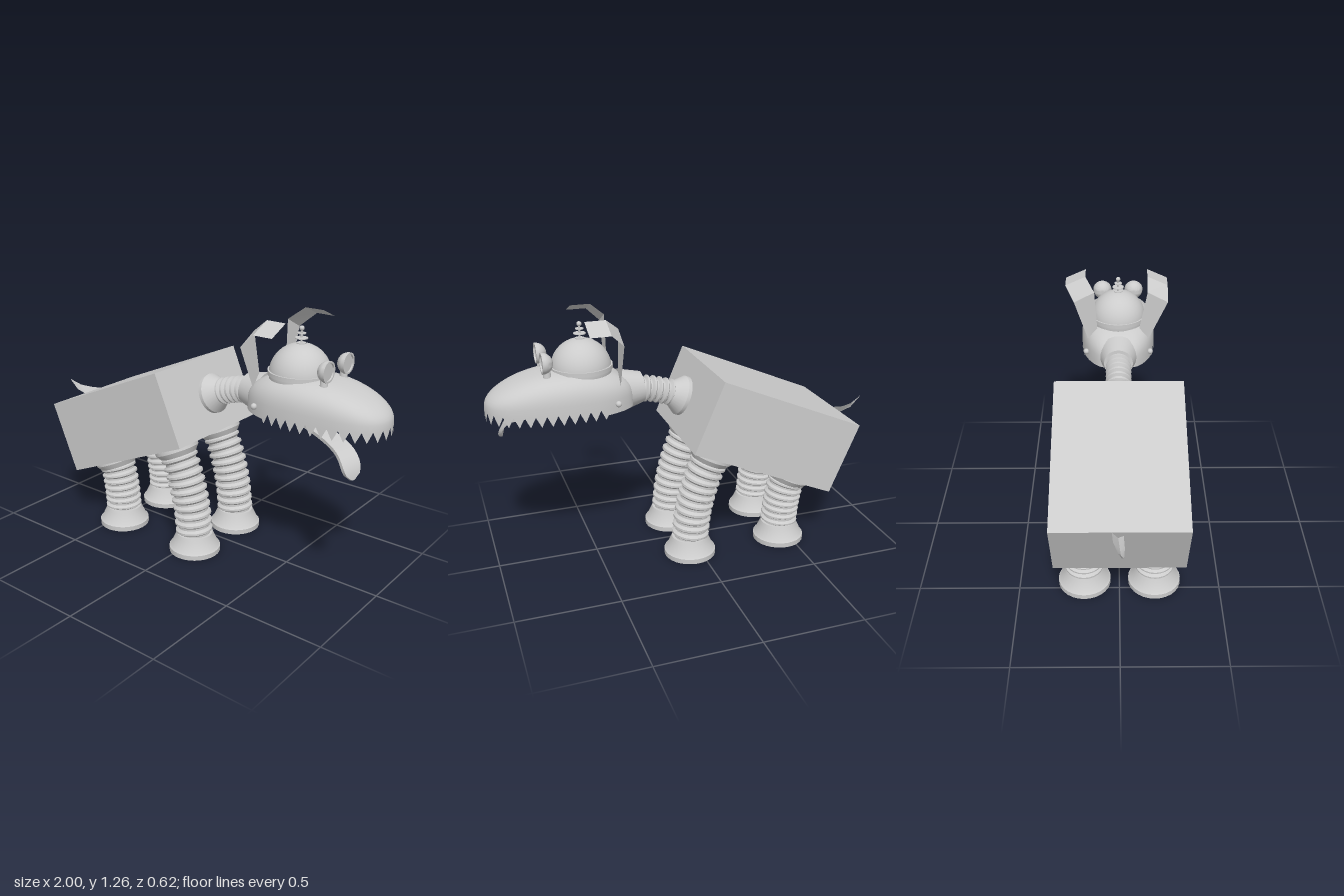
import * as THREE from 'three';
import { toCreasedNormals } from 'three/addons/utils/BufferGeometryUtils.js';

const V = (x, y, z) => new THREE.Vector3(x, y, z);
const solid = new THREE.MeshStandardMaterial({ color: 0xcccccc });
const sheet = new THREE.MeshStandardMaterial({ color: 0xcccccc, side: THREE.DoubleSide });

function add(parent, name, geometry, material = solid, x = 0, y = 0, z = 0) {
  const mesh = new THREE.Mesh(geometry, material);
  mesh.name = name;
  mesh.position.set(x, y, z);
  parent.add(mesh);
  return mesh;
}

function lathe(points, segments = 28) {
  const g = new THREE.LatheGeometry(points.map(p => new THREE.Vector2(...p)), segments);
  return toCreasedNormals(g, 0.6);
}

// Skin between equal-length rows of points
function loft(rows, closed = false, crease = 0.6) {
  const n = rows[0].length, index = [];
  for (let i = 0; i < rows.length - 1; i++) {
    for (let j = 0; j < (closed ? n : n - 1); j++) {
      const a = i * n + j, b = i * n + (j + 1) % n;
      index.push(a, b, a + n, b, b + n, a + n);
    }
  }
  const g = new THREE.BufferGeometry().setFromPoints(rows.flat());
  g.setIndex(index);
  return toCreasedNormals(g, crease);
}

// Ribbed hose: a tube whose rings swell and shrink along a path
function hose(points, ribs, outer, inner) {
  const curve = new THREE.CatmullRomCurve3(points), n = ribs * 4, radial = 24;
  const g = new THREE.TubeGeometry(curve, n, 1, radial);
  const pos = g.attributes.position, p = V(0, 0, 0);
  for (let i = 0; i <= n; i++) {
    const c = curve.getPointAt(i / n), r = i % 4 === 1 || i % 4 === 2 ? outer : inner;
    for (let j = 0; j <= radial; j++) {
      const k = i * (radial + 1) + j;
      p.fromBufferAttribute(pos, k).sub(c).multiplyScalar(r).add(c);
      pos.setXYZ(k, p.x, p.y, p.z);
    }
  }
  return toCreasedNormals(g, 0.5);
}

// Flared collar whose wide end sits at a point and narrows along a direction
function collar(parent, name, at, dir, wide, narrow, length) {
  const m = add(parent, name, lathe([[0, 0], [wide, 0], [wide, 0.018], [narrow, length], [0, length]]));
  m.position.copy(at);
  m.quaternion.setFromUnitVectors(V(0, 1, 0), dir.clone().normalize());
}

function makeLeg(name, path, ribs, z) {
  const leg = new THREE.Group();
  leg.name = name;
  leg.position.z = z;
  const points = path.map(([x, y]) => V(x, y, 0)), end = points[points.length - 1];
  add(leg, 'legHose', hose(points, ribs, 0.095, 0.08), sheet);
  collar(leg, 'hipCollar', points[0], V(0.39, -0.92, 0), 0.113, 0.092, 0.045);
  add(leg, 'foot', lathe([[0, 0], [0.131, 0], [0.131, 0.025], [0.122, 0.032], [0.098, 0.085], [0.092, 0.1], [0, 0.1]]), solid, end.x, 0, 0);
  return leg;
}

function headShell() {
  const half = [[0.31, 0.09], [0.36, 0.14], [0.45, 0.18], [0.58, 0.197], [0.72, 0.19], [0.85, 0.165], [0.93, 0.128], [0.98, 0.075]];
  const outline = new THREE.CatmullRomCurve3([
    V(0.3, 0, 0), ...half.map(([x, z]) => V(x, 0, z)), V(1, 0, 0),
    ...half.slice().reverse().map(([x, z]) => V(x, 0, -z)),
  ], true);
  const n = 144, cx = 0.6, base = 0.84, plan = [];
  for (let j = 0; j < n; j++) plan.push(outline.getPointAt(j / n));
  // jagged tooth rim, plain at the back
  const rows = [plan.map((p, j) => V(p.x, p.x < 0.46 ? 0.81 : [0.84, 0.815, 0.79, 0.815][j % 4], p.z))];
  for (let i = 0; i <= 14; i++) {
    const a = i / 14 * Math.PI / 2, k = Math.max(0, Math.cos(a)) ** 0.65, h = Math.sin(a) ** 0.65;
    rows.push(plan.map(p => {
      const x = cx + (p.x - cx) * k, top = 1.01 - 0.4 * (x - cx) ** 2;
      return V(x, base + (top - base) * h, p.z * k);
    }));
  }
  return loft(rows, true, 0.8);
}

function tongue() {
  const curve = new THREE.CatmullRomCurve3([V(0.4, 0.815, -0.02), V(0.6, 0.788, 0.03), V(0.8, 0.753, 0.1),
    V(0.875, 0.725, 0.14), V(0.912, 0.675, 0.16), V(0.92, 0.632, 0.165)]);
  const side = V(-0.3, 0, 0.95), rows = [];
  for (let i = 0; i <= 24; i++) {
    const t = i / 24, c = curve.getPointAt(t);
    const w = 0.052 * (t > 0.88 ? Math.sqrt(Math.max(0.02, 1 - ((t - 0.88) / 0.12) ** 2)) : 0.75 + 0.28 * t);
    const up = side.clone().cross(curve.getTangentAt(t)).normalize().multiplyScalar(0.008);
    const s = side.clone().multiplyScalar(w);
    rows.push([c.clone().add(s).add(up), c.clone().sub(s).add(up), c.clone().sub(s).sub(up), c.clone().add(s).sub(up)]);
  }
  return loft(rows, true);
}

// Folded ear: upright panel, slanted panel, level flap
function ear(side, lean) {
  const row = (x, yOut, zOut, yIn, zIn) => [V(x, yOut, side * zOut), V(x, yIn, side * zIn)];
  return loft([
    row(0.385, 0.94, 0.16, 1.0, 0.11),
    row(0.38, 1.15, 0.255 - lean * 0.6, 1.205, 0.15 - lean * 0.6),
    row(0.447, 1.215, 0.255 + lean * 0.4, 1.262, 0.15 + lean * 0.4),
    row(0.545, 1.215, 0.255 + lean * 0.4, 1.262, 0.15 + lean * 0.4),
  ], false, 0.2);
}

export function createModel() {
  const dog = new THREE.Group();
  dog.name = 'robotDog';

  // Body and tail
  add(dog, 'body', new THREE.BoxGeometry(0.8, 0.38, 0.625), solid, -0.37, 0.6225, 0).rotation.z = 0.405;
  add(dog, 'tail', loft([
    [V(-0.77, 0.645, -0.04), V(-0.77, 0.59, -0.01), V(-0.77, 0.61, 0.015)],
    [V(-0.87, 0.635, -0.03), V(-0.87, 0.59, 0), V(-0.87, 0.605, 0.02)],
    [V(-0.94, 0.64, -0.01), V(-0.94, 0.61, 0.005), V(-0.94, 0.62, 0.018)],
    [V(-1, 0.667, 0.012), V(-1, 0.665, 0.012), V(-1, 0.665, 0.013)],
  ]), sheet);

  // Legs
  for (const z of [-0.175, 0.175]) {
    dog.add(makeLeg('frontLeg', [[-0.068, 0.54], [-0.01, 0.4], [0.03, 0.25], [0.05, 0.09]], 11, z));
    dog.add(makeLeg('hindLeg', [[-0.495, 0.365], [-0.47, 0.28], [-0.455, 0.19], [-0.447, 0.09]], 8, z));
  }

  // Neck
  add(dog, 'neckHose', hose([V(0.03, 0.795, 0), V(0.1, 0.823, 0), V(0.18, 0.848, 0), V(0.27, 0.865, 0)], 8, 0.066, 0.052), sheet);
  collar(dog, 'neckCollar', V(0.027, 0.793, 0), V(0.92, 0.39, 0), 0.1, 0.058, 0.075);

  // Head
  const head = new THREE.Group();
  head.name = 'head';
  dog.add(head);
  add(head, 'upperJaw', headShell(), sheet);
  add(head, 'skullJoint', toCreasedNormals(new THREE.CylinderGeometry(0.105, 0.075, 0.11, 28), 0.6), solid, 0.295, 0.866, 0).rotation.z = -Math.PI / 2 - 0.06;
  add(head, 'tongue', tongue(), sheet);
  add(head, 'cranium', new THREE.SphereGeometry(0.144, 36, 24), solid, 0.535, 0.997, 0);
  add(head, 'craniumBand', toCreasedNormals(new THREE.CylinderGeometry(0.15, 0.15, 0.02, 36), 0.6), solid, 0.535, 1.006, 0);

  // Antenna
  add(head, 'antennaStem', new THREE.CylinderGeometry(0.005, 0.005, 0.08, 10), solid, 0.535, 1.17, 0);
  add(head, 'antennaTip', new THREE.SphereGeometry(0.012, 14, 10), solid, 0.535, 1.21, 0);
  for (const [r, y] of [[0.03, 1.165], [0.02, 1.187], [0.022, 1.142]]) {
    add(head, 'antennaDisc', new THREE.CylinderGeometry(r, r, 0.004, 20), solid, 0.535, y, 0);
  }

  // Eyes, ears and jaw bolts on both sides
  const eyeProfile = [[0, -0.05]];
  for (let i = 1; i <= 8; i++) {
    const a = i / 8 * Math.PI / 2;
    eyeProfile.push([0.05 * Math.sin(a), -0.05 * Math.cos(a)]);
  }
  eyeProfile.push([0.05, 0.004], [0.041, 0.004], [0.041, -0.004], [0, -0.004]);
  for (const side of [-1, 1]) {
    const eye = add(head, 'eye', lathe(eyeProfile), sheet, 0.732, 1.062, side * 0.086);
    eye.rotation.z = -Math.PI / 2;
    add(head, 'eyePost', new THREE.CylinderGeometry(0.016, 0.02, 0.05, 16), solid, 0.712, 1.005, side * 0.086);
    add(head, 'ear', ear(side, side < 0 ? 0.045 : 0), sheet);
    add(head, 'jawBolt', new THREE.SphereGeometry(0.015, 16, 12), solid, 0.4, 0.855, side * 0.17);
  }
  return dog;
}
